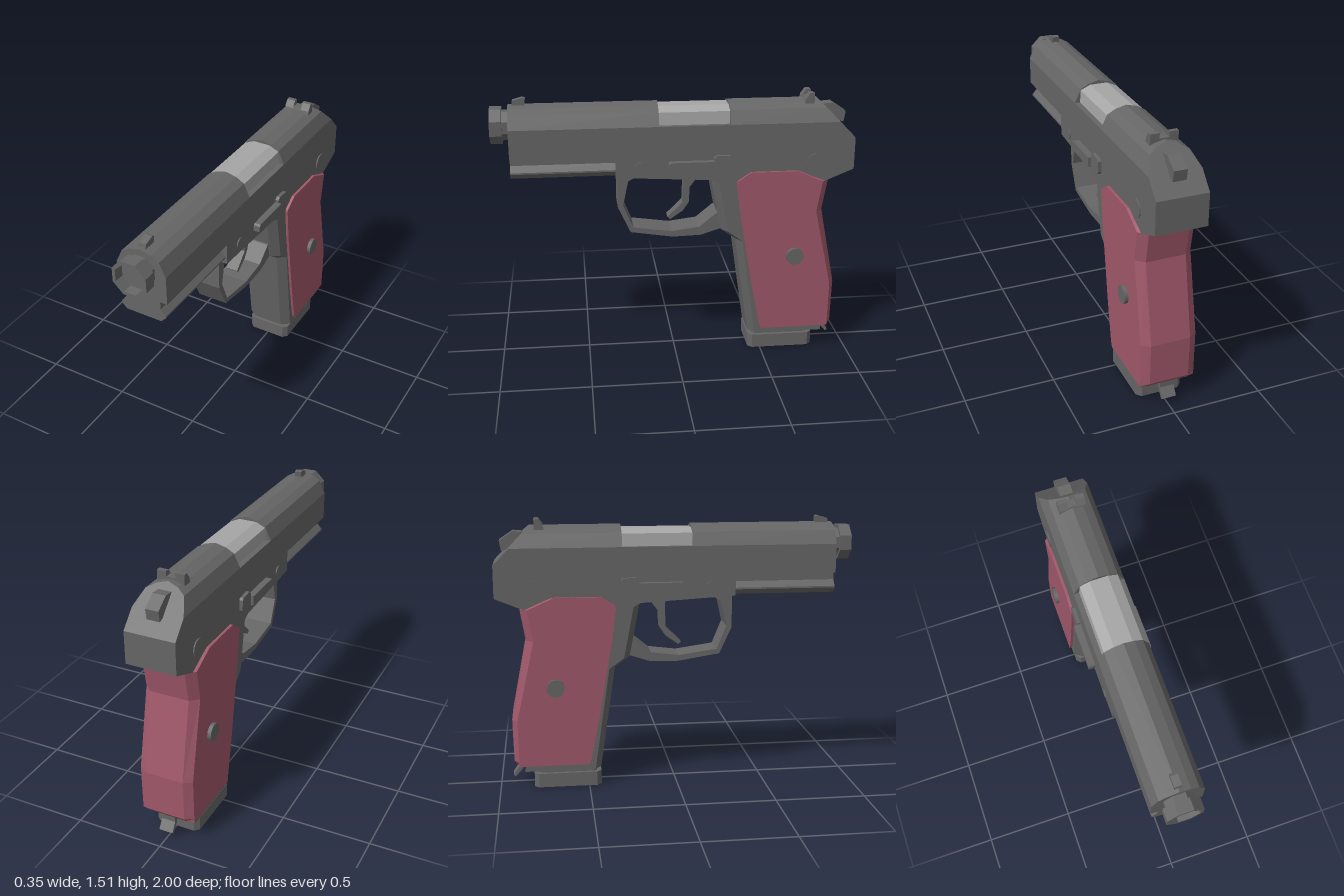
import * as THREE from 'three';

const steel = new THREE.MeshStandardMaterial({ color: 0x666666 });
steel.name = 'dark steel';
const bright = new THREE.MeshStandardMaterial({ color: 0xa6a6a6 });
bright.name = 'bright steel';
const red = new THREE.MeshStandardMaterial({ color: 0xa0586a });
red.name = 'red grip';

const shapeOf = (pts) => new THREE.Shape(pts.map((p) => new THREE.Vector2(p[0], p[1])));

// Side outline of [z, y] points, extruded across x
function sideGeo(pts, x0, x1) {
  const g = new THREE.ExtrudeGeometry(shapeOf(pts), { depth: x1 - x0, bevelEnabled: false });
  return g.rotateY(-Math.PI / 2).translate(x1, 0, 0);
}

// Half outline of [x, y] points, mirrored in x and extruded from z0 to z1
function frontGeo(half, z0, z1) {
  const mirrored = half.filter((p) => p[0] > 0).reverse().map(([x, y]) => [-x, y]);
  const g = new THREE.ExtrudeGeometry(shapeOf([...half, ...mirrored]), { depth: z1 - z0, bevelEnabled: false });
  return g.translate(0, 0, z0);
}

// Flat-faced loft through horizontal rings, bottom to top
function loftGeo(rings) {
  const pos = [];
  const n = rings[0].length;
  const tri = (a, b, c) => pos.push(...a, ...b, ...c);
  for (let k = 0; k < rings.length - 1; k++) {
    for (let i = 0; i < n; i++) {
      const j = (i + 1) % n, a = rings[k], b = rings[k + 1];
      tri(a[i], a[j], b[j]);
      tri(a[i], b[j], b[i]);
    }
  }
  const lo = rings[0], hi = rings[rings.length - 1];
  for (let i = 1; i < n - 1; i++) {
    tri(hi[0], hi[i], hi[i + 1]);
    tri(lo[0], lo[i + 1], lo[i]);
  }
  const g = new THREE.BufferGeometry();
  g.setAttribute('position', new THREE.Float32BufferAttribute(pos, 3));
  g.computeVertexNormals();
  return g;
}

// Ring symmetric in x from its +x half of [x, z] points, front to back
const ring = (y, half) => [
  ...half.map(([x, z]) => [x, y, z]),
  ...half.slice().reverse().map(([x, z]) => [-x, y, z]),
];

export function createModel() {
  const model = new THREE.Group();
  model.name = 'pistol';
  const add = (name, geo, mat = steel) => {
    const m = new THREE.Mesh(geo, mat);
    m.name = name;
    model.add(m);
    return m;
  };
  const both = (fn) => [1, -1].forEach((s) => fn(s, s > 0 ? 'left' : 'right'));

  // Slide: full-length lower rail, then rounded top split by the ejection port
  add('slideLower', frontGeo([[0.14, 1.2], [0.14, 1.27]], -1, 0.9));
  const top = [[0.14, 1.27], [0.14, 1.36], [0.105, 1.435], [0.06, 1.46], [0, 1.475]];
  add('slideFront', frontGeo(top, 0.09, 0.9));
  add('slidePortSides', frontGeo([[0.14, 1.27], [0.14, 1.36]], -0.3, 0.09));
  const rear = frontGeo(top, -1, -0.3);
  const p = rear.attributes.position;
  for (let i = 0; i < p.count; i++) {
    // slope the back end forward towards the top
    if (p.getZ(i) < -0.9) p.setZ(i, -1 + (p.getY(i) - 1.27) * 0.975);
  }
  rear.computeVertexNormals();
  add('slideRear', rear);
  add('chamber', frontGeo([[0.11, 1.355], [0.105, 1.43], [0.05, 1.455]], -0.3, 0.09), bright);

  // Octagonal muzzle with a shallow bore
  const muzzle = new THREE.LatheGeometry(
    [[0, 0.06], [0.08, 0.06], [0.085, 0.11], [0.104, 0.11], [0.104, 0.045], [0.084, 0.045], [0.084, 0]]
      .reverse().map(([r, h]) => new THREE.Vector2(r, h)), 8, Math.PI / 8).toNonIndexed();
  muzzle.computeVertexNormals();
  add('muzzle', muzzle.rotateX(Math.PI / 2).translate(0, 1.36, 0.89));

  // Frame and accessory rail
  add('dustCover', frontGeo([[0.1, 1.083], [0.13, 1.113], [0.13, 1.122], [0.1, 1.155], [0.1, 1.2]], 0.32, 0.9));
  add('frame', sideGeo([[0.33, 1.2], [0.33, 1.08], [-0.2, 1.05], [-0.3, 1.0], [-0.78, 1.0],
    [-0.83, 1.02], [-1, 1.09], [-1, 1.2]], -0.14, 0.14));
  add('gripFrame', loftGeo([
    [0.1, -0.43, -0.86], [0.68, -0.345, -0.82], [0.74, -0.262, -0.8], [0.85, -0.24, -0.78], [1.06, -0.2, -0.8],
  ].map(([y, f, b]) => ring(y, [[0.09, f], [0.14, f - 0.035], [0.14, b]]))));

  // Grip panels wrapping round the back strap
  add('grip', loftGeo([
    [0.135, -0.5, -0.89, -0.9], [0.16, -0.49, -0.892, -0.92], [0.4, -0.44, -0.895, -0.925],
    [0.85, -0.362, -0.795, -0.835], [1.025, -0.34, -0.825, -0.865], [1.04, -0.343, -0.79, -0.83], [1.09, -0.42, -0.68, -0.7],
  ].map(([y, f, e, b]) => ring(y, [[0.155, f], [0.155, e], [0.11, b]]))), red);

  // Trigger guard and trigger
  add('triggerGuard', sideGeo([
    [0.32, 1.09], [0.32, 0.89], [0.25, 0.74], [0.01, 0.703], [-0.15, 0.708], [-0.28, 0.75], [-0.27, 0.85],
    [-0.235, 0.835], [-0.14, 0.757], [0.02, 0.737], [0.235, 0.767], [0.29, 0.9], [0.26, 1.04], [0.2, 1.075], [0.2, 1.09],
  ], -0.085, 0.085));
  add('trigger', sideGeo([
    [-0.04, 1.08], [-0.055, 1.02], [-0.05, 0.89], [0.037, 0.805], [0.022, 0.79],
    [-0.05, 0.84], [-0.085, 0.89], [-0.09, 0.98], [-0.15, 1.06], [-0.15, 1.08],
  ], -0.035, 0.035));

  // Magazine base with clipped corners, and its neck
  const base = (y, w, f, b, c) => ring(y, [[w - c, f], [w, f - c], [w, b + c], [w - c, b]]);
  add('magazineBase', loftGeo([base(0, 0.13, -0.43, -0.81, 0.025), base(0.08, 0.13, -0.43, -0.81, 0.025)]));
  add('magazineNeck', loftGeo([base(0.07, 0.11, -0.455, -0.79, 0.02), base(0.11, 0.11, -0.455, -0.79, 0.02)]));
  add('magazineCatch', sideGeo([[-0.865, 0.15], [-0.895, 0.15], [-0.895, 0.1], [-0.93, 0.05],
    [-0.917, 0.04], [-0.875, 0.09]], -0.04, 0.04));

  // Hammer and sights
  add('hammer', sideGeo([[-0.83, 1.44], [-0.89, 1.445], [-0.965, 1.395], [-0.955, 1.335],
    [-0.925, 1.345], [-0.91, 1.3], [-0.84, 1.3]], -0.036, 0.036));
  add('frontSight', sideGeo([[0.88, 1.465], [0.875, 1.495], [0.82, 1.51], [0.805, 1.505], [0.81, 1.465]], -0.02, 0.02));
  add('rearSightBase', sideGeo([[-0.72, 1.45], [-0.73, 1.482], [-0.775, 1.482], [-0.775, 1.45]], -0.075, 0.075));
  both((s, side) => {
    add(side + 'RearSightPost', sideGeo([[-0.725, 1.475], [-0.75, 1.51], [-0.775, 1.51], [-0.775, 1.475]], -0.025, 0.025)
      .translate(s * 0.05, 0, 0));

    // Side controls, pins and grip screws
    const out = (pts, w) => sideGeo(pts, s > 0 ? 0.13 : -w, s > 0 ? w : -0.13);
    add(side + 'SlideStopLever', out([[0.04, 1.12], [0.03, 1.11], [-0.21, 1.11], [-0.21, 1.165], [0.03, 1.165], [0.04, 1.155]], 0.177));
    add(side + 'SlideStopBlock', out([[-0.21, 1.115], [-0.225, 1.1], [-0.3, 1.105], [-0.31, 1.12],
      [-0.31, 1.18], [-0.3, 1.19], [-0.225, 1.195], [-0.21, 1.18]], 0.16));
    [['FramePin', 0.03, 1.135, 0.195, 0.146], ['RearPin', 0.05, 1.135, -0.78, 0.146], ['GripScrew', 0.05, 0.585, -0.68, 0.176]]
      .forEach(([name, r, y, z, w]) => {
        add(side + name, new THREE.CylinderGeometry(r, r, 0.05, 12).rotateZ(Math.PI / 2).translate(s * (w - 0.025), y, z));
      });
  });
  return model;
}
